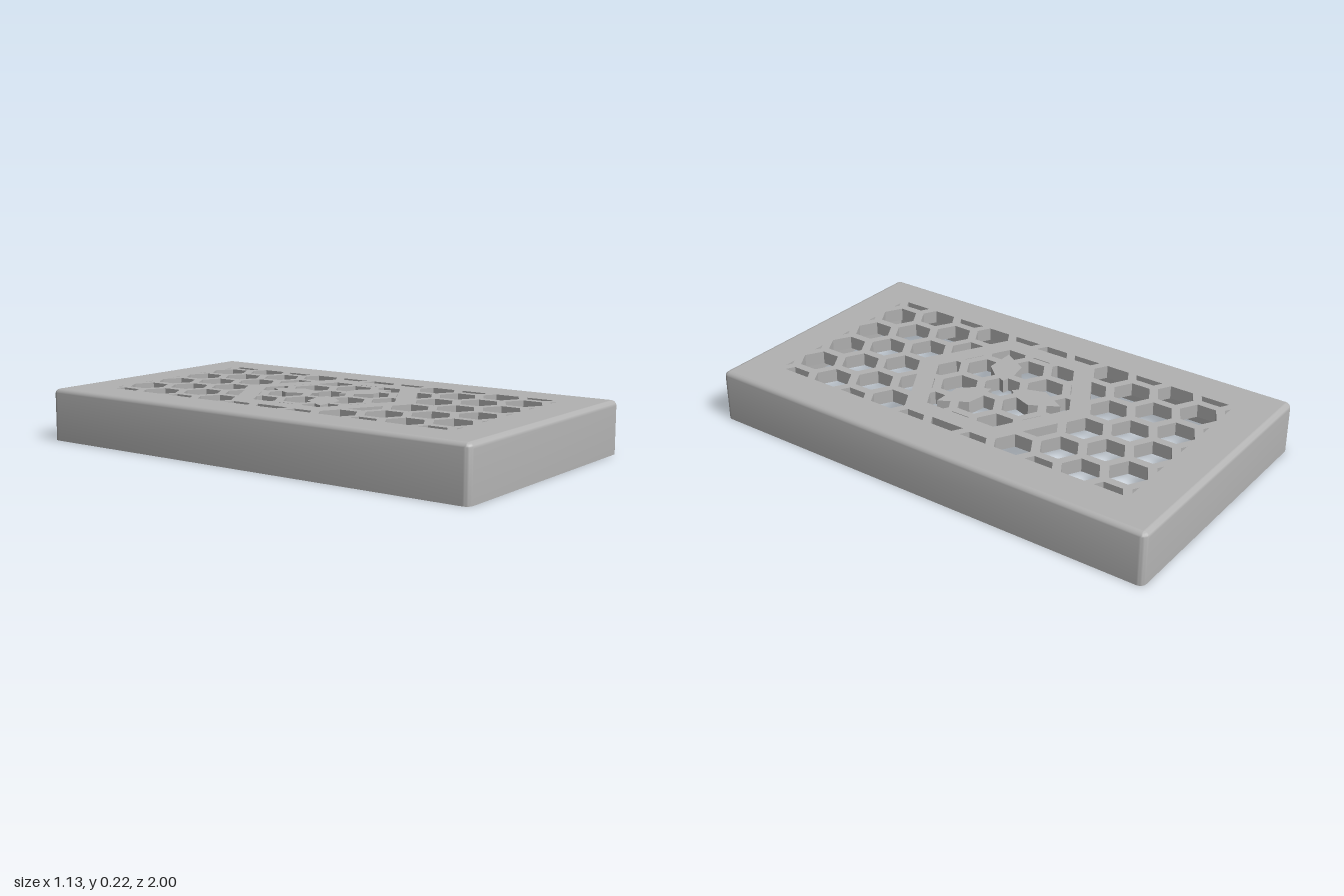
import * as THREE from 'three';
import { toCreasedNormals } from 'three/addons/utils/BufferGeometryUtils.js';

const W = 0.565, L = 1, H = 0.215;         // half width, half length, height
const WALL = 0.025, PLATE = 0.055, R = 0.022, CORNER = 0.026;
const PITCH = 0.1725, HOLE = 0.08;         // honeycomb spacing and hole radius
const WIN_X = 0.397, WIN_Y = 0.83;         // perforated window half sizes

// Rounded rectangle outline, inset from the outer footprint
function outline(inset, steps = 6) {
  const pts = [], r = Math.max(CORNER - inset, 0.001);
  [[1, 1], [-1, 1], [-1, -1], [1, -1]].forEach(([sx, sy], q) => {
    for (let i = 0; i <= steps; i++) {
      const a = (q + i / steps) * Math.PI / 2;
      pts.push(new THREE.Vector2(sx * (W - CORNER) + r * Math.cos(a), sy * (L - CORNER) + r * Math.sin(a)));
    }
  });
  return pts;
}

// Hexagon with corners pointing along the length
function hexagon(cx, cy, r) {
  return Array.from({ length: 6 }, (_, i) => {
    const a = Math.PI / 6 + i * Math.PI / 3;
    return new THREE.Vector2(cx + r * Math.cos(a), cy + r * Math.sin(a));
  });
}

// Cut a convex polygon to the rectangular window
function clipToWindow(poly) {
  for (const [axis, s, lim] of [['x', 1, WIN_X], ['x', -1, WIN_X], ['y', 1, WIN_Y], ['y', -1, WIN_Y]]) {
    const out = [];
    poly.forEach((p, i) => {
      const q = poly[(i + 1) % poly.length];
      const dp = lim - s * p[axis], dq = lim - s * q[axis];
      if (dp >= 0) out.push(p);
      if (dp * dq < 0) out.push(p.clone().lerp(q, dp / (dp - dq)));
    });
    poly = out;
  }
  return poly;
}

// Flat slab lying in the top of the cover
function slab(points, holes = []) {
  const shape = new THREE.Shape(points);
  holes.forEach(h => shape.holes.push(new THREE.Path(h)));
  const geo = new THREE.ExtrudeGeometry(shape, { depth: PLATE, bevelEnabled: false });
  return geo.rotateX(-Math.PI / 2).translate(0, H - PLATE, 0);
}

// Side walls: a profile of [inset, height] carried round the footprint
function wallGeometry() {
  const profile = [];
  for (let i = 0; i <= 6; i++) {
    const a = i / 6 * Math.PI / 2;
    profile.push([R - R * Math.sin(a), H - R + R * Math.cos(a)]);
  }
  profile.push([0, 0], [WALL, 0], [WALL, H - PLATE]);
  const pos = [], idx = [], n = outline(0).length;
  for (const [inset, y] of profile) outline(inset).forEach(p => pos.push(p.x, y, -p.y));
  for (let k = 0; k < profile.length - 1; k++) {
    for (let i = 0; i < n; i++) {
      const a = k * n + i, b = k * n + (i + 1) % n;
      idx.push(a, a + n, b, b, a + n, b + n);
    }
  }
  const geo = new THREE.BufferGeometry();
  geo.setAttribute('position', new THREE.Float32BufferAttribute(pos, 3));
  geo.setIndex(idx);
  return toCreasedNormals(geo, 0.6);
}

export function createModel() {
  const group = new THREE.Group();
  const grey = new THREE.MeshStandardMaterial({ color: 0xb2b2b2 });
  grey.name = 'grey';
  const add = (name, geo) => {
    const mesh = new THREE.Mesh(geo, grey);
    mesh.name = name;
    group.add(mesh);
    return mesh;
  };

  add('sideWalls', wallGeometry());

  // Top plate with honeycomb holes
  const holes = [];
  for (let row = -6; row <= 6; row++) {
    for (let col = -3; col <= 3; col++) {
      const x = (col + (row % 2 ? 0.5 : 0)) * PITCH;
      const cut = clipToWindow(hexagon(x, row * PITCH * Math.sqrt(3) / 2, HOLE));
      if (cut.length > 2) holes.push(cut);
    }
  }
  add('topPlate', slab(outline(R), holes));

  // Hexagonal band around the centre
  add('hexagonBand', slab(hexagon(0, 0, 0.41), [hexagon(0, 0, 0.322)]));

  // Three pointed leaves
  const leaf = [[0, 0.28], [-0.0635, 0.17], [-0.04, 0.1], [0, 0.047], [0.04, 0.1], [0.0635, 0.17]]
    .map(([x, y]) => new THREE.Vector2(x, y));
  for (let i = 0; i < 3; i++) add('leaf', slab(leaf)).rotation.y = i * Math.PI * 2 / 3;

  // Snap bumps on the inner long walls
  for (const sx of [-1, 1]) for (const sz of [-1, 1]) {
    add('snapBump', new THREE.SphereGeometry(0.021, 16, 12)).position.set(sx * (W - WALL), 0.08, sz * 0.58);
  }
  return group;
}
